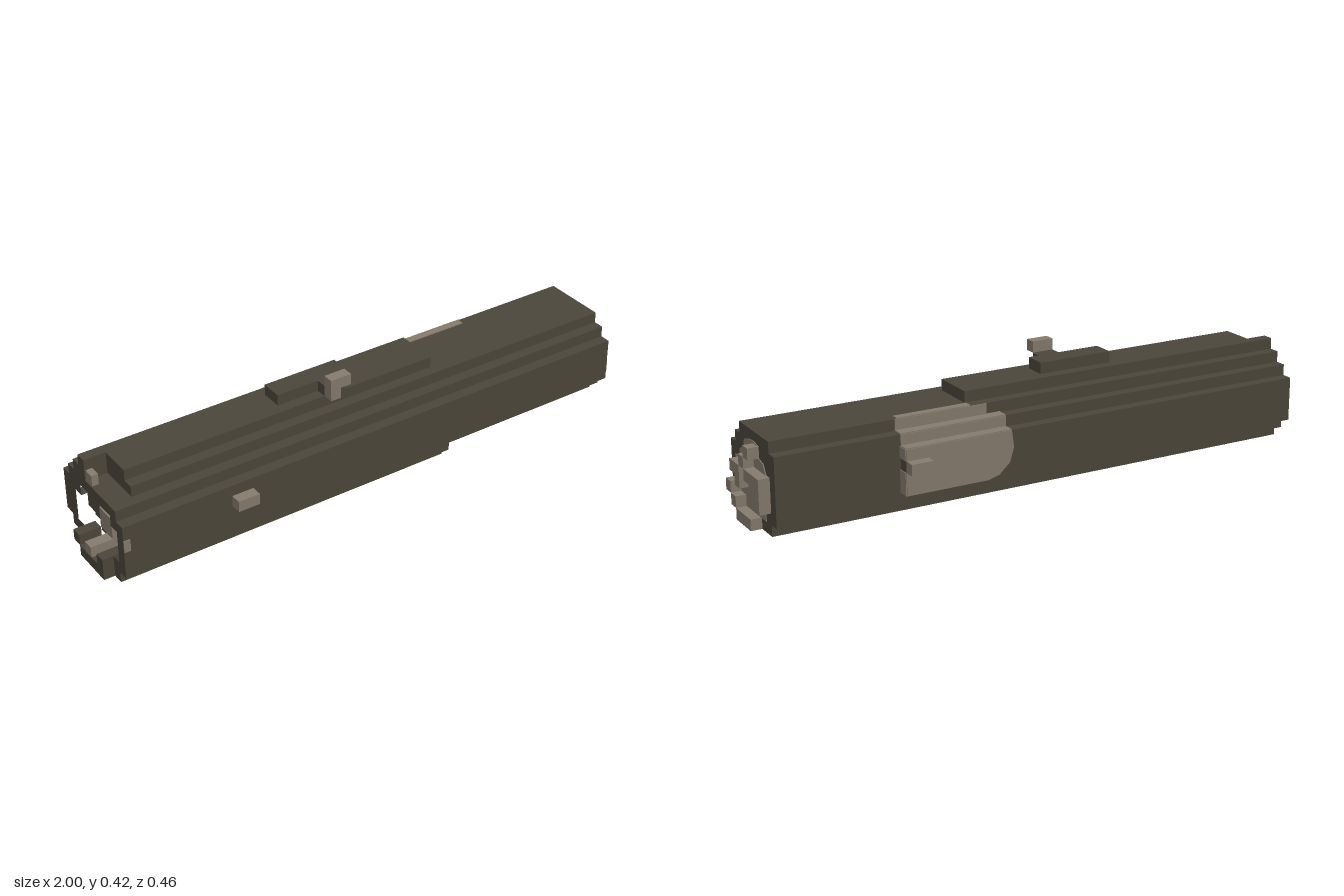
import * as THREE from 'three';

// All sizes are in blocks; the whole log is 52 blocks long.
const BLOCK = 1 / 26;
const THIN = 0.08;

export function createModel() {
  const model = new THREE.Group();
  const bark = new THREE.MeshStandardMaterial({ color: 0x4b463a, name: 'bark' });
  const wood = new THREE.MeshStandardMaterial({ color: 0x857b6d, name: 'bareWood' });

  const add = (name, geometry, material) => {
    const mesh = new THREE.Mesh(geometry, material);
    mesh.name = name;
    model.add(mesh);
    return mesh;
  };

  // Box given by its lower and upper corners
  const block = (name, mat, x0, x1, y0, y1, z0, z1) => {
    const g = new THREE.BoxGeometry(x1 - x0, y1 - y0, z1 - z0);
    g.translate((x0 + x1) / 2, (y0 + y1) / 2, (z0 + z1) / 2);
    return add(name, g, mat);
  };

  // Extrudes a (z, y) outline along x
  const alongX = (name, mat, points, x0, x1, hole) => {
    const toShape = (P, pts) => new P(pts.map(([z, y]) => new THREE.Vector2(-z, y)));
    const shape = toShape(THREE.Shape, points);
    if (hole) shape.holes.push(toShape(THREE.Path, hole));
    const g = new THREE.ExtrudeGeometry(shape, { depth: x1 - x0, bevelEnabled: false });
    g.rotateY(Math.PI / 2).translate(x0, 0, 0);
    return add(name, g, mat);
  };

  // Stepped outline from rows of [y0, y1, zBack, zFront]
  const stepped = (rows) => {
    const front = rows.flatMap(([a, b, , f]) => [[f, a], [f, b]]);
    const back = rows.flatMap(([a, b, k]) => [[k, a], [k, b]]).reverse();
    return [...front, ...back];
  };

  // Trunk, thinning in steps towards the right end
  const upper = [[6, 7, -4, 4], [7, 8, -3, 3]];
  const thickBottom = [[0, 1, -3, 4], [1, 2, -4, 5]];
  const thinBottom = [[0, 1, -3, 3], [1, 2, -4, 4]];
  alongX('trunkThick', bark, stepped([...thickBottom, [2, 6, -5, 5], ...upper, [8, 9, -2, 2]]), -23, 7);
  alongX('trunkMiddle', bark, stepped([...thinBottom, [2, 6, -5, 5], ...upper]), 7, 14);
  alongX('trunkThin', bark, stepped([...thinBottom, [2, 6, -4, 5], ...upper]), 14, 25);

  // Hollow broken end with a notched top
  const hollow = stepped([[1, 2, -2, 3], [2, 5, -3, 4], [5, 6, -2, 3]]);
  alongX('hollowEnd', bark,
    stepped([...thickBottom, [2, 6, -5, 5], [6, 7, -4, 4], [7, 8, -3, -1], [8, 9, -2, -1]]),
    -25, -23, hollow);
  const splinters = [
    [bark, -26, -23, 0, 1, -1, 3],
    [bark, -26, -23, 1, 2, 2, 3],
    [wood, -26, -23, 1, 2, 0, 1],
    [bark, -26, -24, 1, 2, -2, -1],
    [wood, -24, -23, 2, 4, -1, 1],
    [wood, -24, -23, 4, 5, 1, 3],
    [bark, -24, -23, 3, 5, -3, -1],
    [wood, -24.9, -24.3, 7, 8, -1, 0],
  ];
  splinters.forEach(([mat, ...b]) => block('endSplinter', mat, ...b));
  block('frontChip', wood, -25, -24.4, 3.6, 4.7, 5, 5 + THIN);

  // Bare cut face on the right end
  alongX('cutFace', wood, [
    [2, 0], [2, 1], [3, 1], [3, 2], [4, 2], [4, 4.9], [3, 5], [3, 5.7], [2.1, 6], [1.9, 6.8], [1, 7.1],
    [0, 7.2], [-1, 7], [-1, 6], [-1.9, 5.8], [-2.4, 5], [-3, 5], [-3, 2], [-2, 2], [-2, 1], [-1, 1], [-1, 0],
  ], 25, 25 + THIN);
  const chips = [
    [0, 1, 1, 2], [0, 1, -1, 1], [1, 2, 2, 3], [2, 3, 3, 4],
    [4, 5, 1, 3], [3, 4, 1, 2], [2, 4, -3, -1], [4, 5, -3, 0],
    [5, 6, 0, 1], [6, 7, -1, 0],
  ];
  chips.forEach(([y0, y1, z0, z1]) => block('cutChip', wood, 25, 26, y0, y1, z0, z1));

  // Peeled patch wrapping over the back shoulder
  const peel = new THREE.Shape([
    [4.2, 6], [4, 4.5], [4.4, 3.2], [5.4, 2.3], [6.5, 2], [14, 2], [14, 6],
  ].map((p) => new THREE.Vector2(...p)));
  add('peeledBack', new THREE.ExtrudeGeometry(peel, { depth: THIN, bevelEnabled: false }), wood)
    .position.z = -5 - THIN;
  block('peeledLedge', wood, 4.2, 14, 6, 6 + THIN, -5, -4);
  block('peeledStep', wood, 4.2, 14, 6, 7, -4 - THIN, -4);
  block('peeledLedge', wood, 4.2, 14, 7, 7 + THIN, -4, -3);
  block('peeledStep', wood, 5.5, 14, 7, 8, -3 - THIN, -3);
  block('peeledLedge', wood, 7, 13.8, 8, 8 + THIN, -3, -2.3);
  for (const [y0, y1] of [[2, 4], [5, 6]]) block('shoulderEnd', wood, 14, 14 + THIN, y0, y1, -5, -4);

  // Branch stubs on the back, front and top
  block('backStub', wood, 12, 14, 4, 5, -6, -5);
  block('frontStub', wood, -15, -13, 4, 5, 5, 6);
  block('topKnot', bark, -8, -1, 9, 10, -1, 1);
  block('topKnotSide', bark, -4, -2, 9, 10, 1, 2);
  block('topStub', wood, -4, -3, 9, 10, 2, 3);
  block('topStub', wood, -4, -2, 10, 11, 2, 3);

  model.scale.setScalar(BLOCK);
  return model;
}
